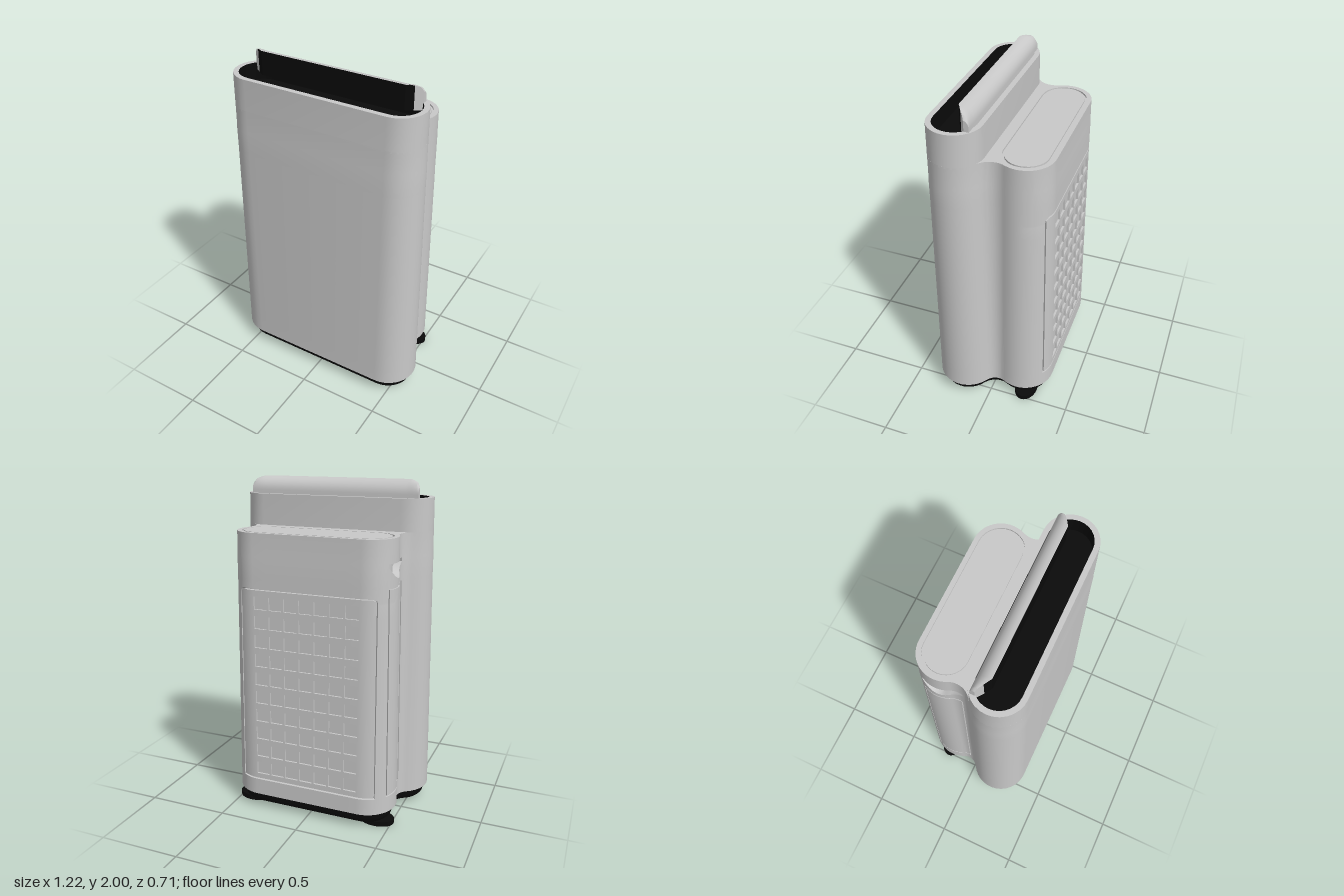
import * as THREE from 'three';
import { toCreasedNormals } from 'three/addons/utils/BufferGeometryUtils.js';

// Collects quads (corners counter-clockwise) into a geometry
function quads() {
  const pos = [];
  return {
    add(a, b, c, d) { pos.push(...a, ...b, ...c, ...a, ...c, ...d); },
    build() {
      const g = new THREE.BufferGeometry();
      g.setAttribute('position', new THREE.Float32BufferAttribute(pos, 3));
      return toCreasedNormals(g, 0.55);
    },
  };
}

// Patch from f(u, v): u runs right and v runs up as seen from outside
function patch(us, vs, f) {
  const q = quads();
  for (let i = 0; i < us.length - 1; i++)
    for (let j = 0; j < vs.length - 1; j++)
      q.add(f(us[i], vs[j]), f(us[i + 1], vs[j]), f(us[i + 1], vs[j + 1]), f(us[i], vs[j + 1]));
  return q.build();
}

// Arc of outline points with outward normals; sign -1 makes it concave
function arc(c, r, a0, a1, sign = 1, breaks = []) {
  const as = [...breaks];
  for (let i = 0; i <= 14; i++) as.push(a0 + (a1 - a0) * i / 14);
  as.sort((p, q) => (p - q) * Math.sign(a1 - a0));
  return as.map(a => {
    const x = Math.cos(a), z = Math.sin(a);
    return { x: c[0] + r * x, z: c[1] + r * z, nx: sign * x, nz: sign * z };
  });
}
const mirrored = half => [...half, ...half.map(p => ({ ...p, x: -p.x, nx: -p.nx })).reverse()];
const stadium = (c, r) => mirrored(arc(c, r, Math.PI / 2, -Math.PI / 2));
const inset = (p, d) => [p.x - p.nx * d, p.z - p.nz * d];

// Wall around a closed outline; depth(x, y, z) sinks single fields and adds their side walls
function skin(cols, rows, insetAt, depth = () => 0, rowY = (p, y) => y) {
  const q = quads(), n = cols.length;
  const P = (i, j, d) => {
    const p = cols[i % n], [x, z] = inset(p, insetAt(rows[j]) + d);
    return [x, rowY(p, rows[j]), z];
  };
  const D = (i, j) => {
    const a = cols[i % n], b = cols[(i + 1) % n];
    return depth((a.x + b.x) / 2, (rows[j] + rows[j + 1]) / 2, (a.z + b.z) / 2);
  };
  for (let i = 0; i < n; i++)
    for (let j = 0; j < rows.length - 1; j++) {
      const d = D(i, j), e = D(i + 1, j);
      q.add(P(i, j, d), P(i + 1, j, d), P(i + 1, j + 1, d), P(i, j + 1, d));
      if (d !== e) q.add(P(i + 1, j, d), P(i + 1, j, e), P(i + 1, j + 1, e), P(i + 1, j + 1, d));
      if (j < rows.length - 2) {
        const t = D(i, j + 1);
        if (t !== d) q.add(P(i, j + 1, d), P(i + 1, j + 1, d), P(i + 1, j + 1, t), P(i, j + 1, t));
      }
    }
  return q.build();
}

// Horizontal plate facing up, optionally thick and with a hole
function plate(cols, d, y, hole, thick = 0) {
  const pts = (c, k) => c.map(p => { const [x, z] = inset(p, k); return new THREE.Vector2(x, -z); });
  const s = new THREE.Shape(pts(cols, d));
  if (hole) s.holes.push(new THREE.Path(pts(hole, 0)));
  const g = thick ? new THREE.ExtrudeGeometry(s, { depth: thick, bevelEnabled: false }) : new THREE.ShapeGeometry(s);
  return g.rotateX(-Math.PI / 2).translate(0, y, 0);
}

export function createModel() {
  const group = new THREE.Group();
  const grey = new THREE.MeshStandardMaterial({ name: 'light grey', color: 0xc8c8c8 });
  const black = new THREE.MeshStandardMaterial({ name: 'black', color: 0x0a0a0a });
  const add = (name, geo, mat) => {
    const m = new THREE.Mesh(geo, mat);
    m.name = name;
    group.add(m);
    return m;
  };

  // Outline: wide front lobe, concave waist, narrower rear lobe
  const front = [0.43, 0.175], waist = [0.562, -0.05], rear = [0.325, -0.17];
  const a1 = Math.atan2(waist[1] - front[1], waist[0] - front[0]);
  const a2 = Math.atan2(waist[1] - rear[1], waist[0] - rear[0]);
  const pitch = 0.094, cellW = 0.0405, cellEdges = [];
  for (let k = 3; k >= 0; k--) {
    cellEdges.push(k * pitch + cellW);
    if (k) cellEdges.push(k * pitch - cellW);
  }
  const outline = mirrored([
    ...arc(front, 0.18, Math.PI / 2, a1),
    ...arc(waist, 0.08, a1 + Math.PI, a2 + Math.PI, -1, [2.889, 3.0]).slice(1),
    ...arc(rear, 0.185, a2, -Math.PI / 2, 1, [-0.521, -0.571, -0.967, -1.017]).slice(1),
    ...cellEdges.map(x => ({ x, z: -0.355, nx: 0, nz: -1 })),
  ]);
  const taper = y => 0.03 * (y - 0.1) / 1.8;

  // Body rows, including the grille cells, panel grooves and grip
  const rows = [0.1, 0.2, 0.21, 1.39, 1.4, 1.44, 1.45, 1.49, 1.58, 1.715];
  const cellY = k => 0.28 + 0.115 * k, cellH = 0.0385;
  for (let k = 0; k < 10; k++) rows.push(cellY(k) - cellH, cellY(k) + cellH);
  rows.sort((a, b) => a - b);

  const depth = (x, y, z) => {
    const ax = Math.abs(x);
    if (z < -0.31 && ax < 0.43 && y > 0.2 && y < 1.4) {
      if (ax > 0.424 || y < 0.21 || y > 1.39) return 0.02;
      const dx = Math.abs(x - Math.round(x / pitch) * pitch);
      const dy = Math.abs(y - cellY(Math.round((y - 0.28) / 0.115)));
      return ax < 0.323 && dx < cellW && dy < cellH ? 0.012 : 0;
    }
    if (x < -0.4 && z > -0.27 && z < -0.03) {
      if (y > 1.49 && y < 1.58) return 0.04;
      const border = z < -0.264 || z > -0.038 || y < 0.21 || y > 1.44;
      if (y > 0.2 && y < 1.45 && border) return 0.008;
    }
    return 0;
  };
  // Round the rear panel's top corners and curve the grip's lower edge
  const rowY = (p, y) => {
    if (y === 1.49) return y + 0.07 * Math.min(1, ((p.z + 0.15) / 0.12) ** 2);
    if ((y === 1.39 || y === 1.4) && p.z < -0.2) {
      const t = Math.min(0.03, Math.max(0, Math.abs(p.x) - 0.4));
      return y - 0.03 + Math.sqrt(0.0009 - t * t);
    }
    return y;
  };
  add('body', skin(outline, rows, taper, depth, rowY), grey);
  add('bodyUnderside', plate(outline, 0, 0, null).rotateX(Math.PI).scale(1, 1, -1), grey).visible = false;
  group.remove(group.children[1]);
  const under = plate(outline, 0, 0.1, null);
  under.setIndex([...under.index.array].reverse());
  under.computeVertexNormals();
  add('bodyUnderside', under, grey);

  // Rear deck with an inlaid lid
  add('rearDeck', plate(outline, taper(1.715) + 0.0004, 1.705, stadium(rear, 0.13), 0.01), grey);
  add('rearDeckGroove', plate(stadium(rear, 0.135), 0, 1.7055), grey);
  add('rearDeckLid', plate(stadium(rear, 0.12), 0, 1.7, null, 0.015), grey);

  // Taller front tank with its rim and dark tray
  const tank = stadium(front, 0.18), tray = stadium(front, 0.12);
  add('frontTank', skin(tank, [1.705, 1.9], taper), grey);
  add('tankRim', plate(tank, 0.03, 1.9, tray), grey);
  add('trayWall', skin([...tray].reverse(), [1.8, 1.9], () => 0), black);
  add('trayFloor', plate(tray, 0, 1.8), black);

  // Raised flap: rounded back, dark front
  const ramp = (x, pts) => {
    const ax = Math.abs(x);
    for (let i = 1; i < pts.length; i++)
      if (ax <= pts[i][0]) {
        const [x0, v0] = pts[i - 1], [x1, v1] = pts[i];
        return v0 + (v1 - v0) * (ax - x0) / (x1 - x0);
      }
    return pts[pts.length - 1][1];
  };
  const frontZ = x => ramp(x, [[0, 0.145], [0.44, 0.145], [0.48, 0.12], [0.52, 0.09]]);
  const topY = x => ramp(x, [[0, 2], [0.46, 2], [0.48, 1.995], [0.505, 1.985], [0.52, 1.96]]);
  const vs = [0, 1, 2, 3, 4, 5, 6, 7, 8].map(k => k / 8);
  const heightAt = (x, v) => v === 0 ? 1.86 : 1.92 + (topY(x) - 1.92) * Math.sin((v - 0.125) / 0.875 * Math.PI / 2);
  const backZ = (x, v) => frontZ(x) - (frontZ(x) - 0.062) * (v === 0 ? 1 : Math.cos((v - 0.125) / 0.875 * Math.PI / 2));
  const backAt = (x, v) => [x, heightAt(x, v), backZ(x, v)];
  const frontAt = (x, v) => [x, heightAt(x, v), frontZ(x)];
  const xs = [-0.52, -0.505, -0.48, -0.46, -0.44, 0.44, 0.46, 0.48, 0.505, 0.52];
  add('flapBack', patch([...xs].reverse(), vs, backAt), grey);
  add('flapFront', patch(xs.slice(2, 8), vs, frontAt), black);
  for (const s of [-1, 1]) {
    const edge = s < 0 ? xs.slice(0, 3) : xs.slice(7);
    add('flapFrontEdge', patch(edge, vs, frontAt), grey);
    const x = 0.52 * s;
    add('flapEnd', patch(s > 0 ? [0, 1] : [1, 0], vs,
      (u, v) => [x, heightAt(x, v), u ? backZ(x, v) : frontZ(x)]), grey);
  }

  // Dark base with rounded lower edge
  const baseInset = y => ramp(y, [[0.025, 0.06], [0.032, 0.042], [0.045, 0.03], [0.06, 0.026], [0.1, 0.025]]);
  add('base', skin(outline, [0.025, 0.032, 0.045, 0.06, 0.1], baseInset), black);
  const bottom = plate(outline, 0.06, 0.025);
  bottom.setIndex([...bottom.index.array].reverse());
  bottom.computeVertexNormals();
  add('baseUnderside', bottom, black);

  // Oval feet
  for (const s of [-1, 1])
    for (const z of [0.19, -0.21]) {
      const foot = add('foot', new THREE.CylinderGeometry(0.105, 0.105, 0.03, 32), black);
      foot.scale.z = 0.67;
      foot.position.set(0.41 * s, 0.015, z);
    }
  return group;
}
